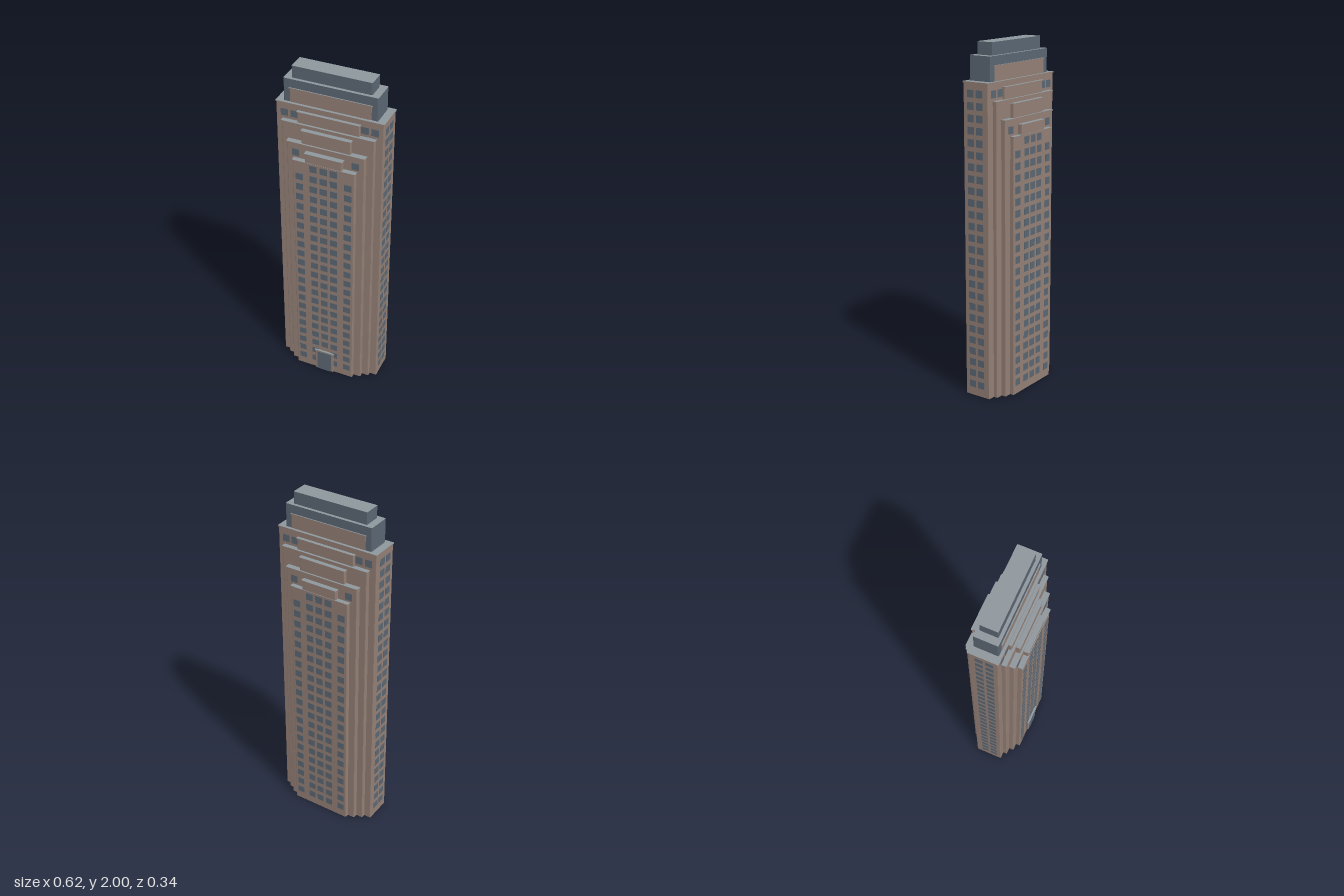
import * as THREE from 'three';

const wall = new THREE.MeshStandardMaterial({ name: 'brownStone', color: 0x927f74 });
const slate = new THREE.MeshStandardMaterial({ name: 'slateBlue', color: 0x5a6672 });
const roof = new THREE.MeshStandardMaterial({ name: 'roofGrey', color: 0x8d969c });

// Upright block with slightly rounded corners; bottom, top and side faces are separate groups
function block(x, z0, z1, y0, y1, r = 0.005) {
  const s = new THREE.Shape();
  const a = -z1, b = -z0; // shape y becomes -z once laid flat
  s.moveTo(-x + r, a);
  s.lineTo(x - r, a); s.quadraticCurveTo(x, a, x, a + r);
  s.lineTo(x, b - r); s.quadraticCurveTo(x, b, x - r, b);
  s.lineTo(-x + r, b); s.quadraticCurveTo(-x, b, -x, b - r);
  s.lineTo(-x, a + r); s.quadraticCurveTo(-x, a, -x + r, a);
  const g = new THREE.ExtrudeGeometry(s, { depth: y1 - y0, bevelEnabled: false, curveSegments: 3 });
  g.rotateX(-Math.PI / 2).translate(0, y0, 0);
  const lid = g.groups[0].count, side = g.groups[1].count;
  g.clearGroups();
  g.addGroup(0, lid / 2, 0);
  g.addGroup(lid / 2, lid / 2, 1);
  g.addGroup(lid, side, 0);
  return g;
}

export function createModel() {
  const model = new THREE.Group();
  model.name = 'tower';

  function addBlock(name, x, z0, z1, y0, y1, side = wall) {
    const mesh = new THREE.Mesh(block(x, z0, z1, y0, y1), [side, roof]);
    mesh.name = name;
    model.add(mesh);
  }

  // Wall block finished with a thin overhanging coping
  function addCoped(name, x, z0, z1, y0, y1) {
    const lip = 0.004, t = 0.007;
    addBlock(name, x - lip, z0 + lip, z1 - lip, y0, y1 - t);
    addBlock(name + 'Coping', x, z0, z1, y1 - t, y1);
  }

  // Stepped tiers, each with a raised parapet: [half width, back, front, top]
  const tiers = [
    [0.312, -0.091, 0.081, 1.795],
    [0.27, -0.116, 0.105, 1.695],
    [0.229, -0.144, 0.134, 1.593],
    [0.185, -0.168, 0.16, 1.5],
  ];
  tiers.forEach(([x, z0, z1, y], i) => addCoped('tier' + (i + 1), x, z0, z1, 0, y));
  const parapets = [
    [0.237, -0.079, 0.069, 1.88],
    [0.182, -0.107, 0.096, 1.762],
    [0.146, -0.138, 0.128, 1.672],
    [0.111, -0.169, 0.161, 1.557],
  ];
  parapets.forEach(([x, z0, z1, y], i) =>
    addCoped('parapet' + (i + 1), x, z0, z1, tiers[i][3] - 0.01, y));

  // Slate crown
  addBlock('lowerCrown', 0.268, -0.073, 0.063, 1.785, 1.93, slate);
  addBlock('upperCrown', 0.227, -0.055, 0.045, 1.92, 2.0, slate);

  // Entrance portal and door
  addCoped('entrancePortal', 0.063, 0.14, 0.168, 0, 0.15);
  const door = new THREE.Mesh(new THREE.BoxGeometry(0.09, 0.138, 0.005), slate);
  door.name = 'door';
  door.position.set(0, 0.069, 0.1643);
  model.add(door);

  // Windows as thin plates on a regular floor grid
  const pane = new THREE.BoxGeometry(0.043, 0.041, 0.003);
  const windows = new THREE.Group();
  windows.name = 'windows';
  model.add(windows);
  const floorY = (row) => 0.069 + row * 0.0665;
  function addWindow(name, x, y, z, turn = 0) {
    const w = new THREE.Mesh(pane, slate);
    w.name = name;
    w.position.set(x, y, z);
    w.rotation.y = turn;
    windows.add(w);
  }

  // Front and back faces, on the wall planes behind the copings
  for (const front of [true, false]) {
    const name = front ? 'frontWindow' : 'backWindow';
    const face = (i) => (front ? tiers[i][2] - 0.004 : tiers[i][1] + 0.004);
    for (const x of [-0.143, -0.06, 0, 0.06, 0.143]) {
      const rows = Math.abs(x) > 0.1 ? 21 : 22;
      for (let r = 0; r < rows; r++) {
        if (front && x === 0 && r < 2) continue; // behind the portal
        addWindow(name, x, floorY(r), face(3));
      }
    }
    for (const s of [-1, 1]) {
      addWindow(name, s * 0.174, floorY(22), face(2));
      for (const x of [0.203, 0.26]) addWindow(name, s * x, floorY(25), face(0));
    }
  }

  // Side faces
  for (const s of [-1, 1])
    for (const z of [-0.029, 0.029])
      for (let r = 0; r < 26; r++)
        addWindow(s > 0 ? 'leftWindow' : 'rightWindow', s * 0.308, floorY(r), z, Math.PI / 2);

  return model;
}
